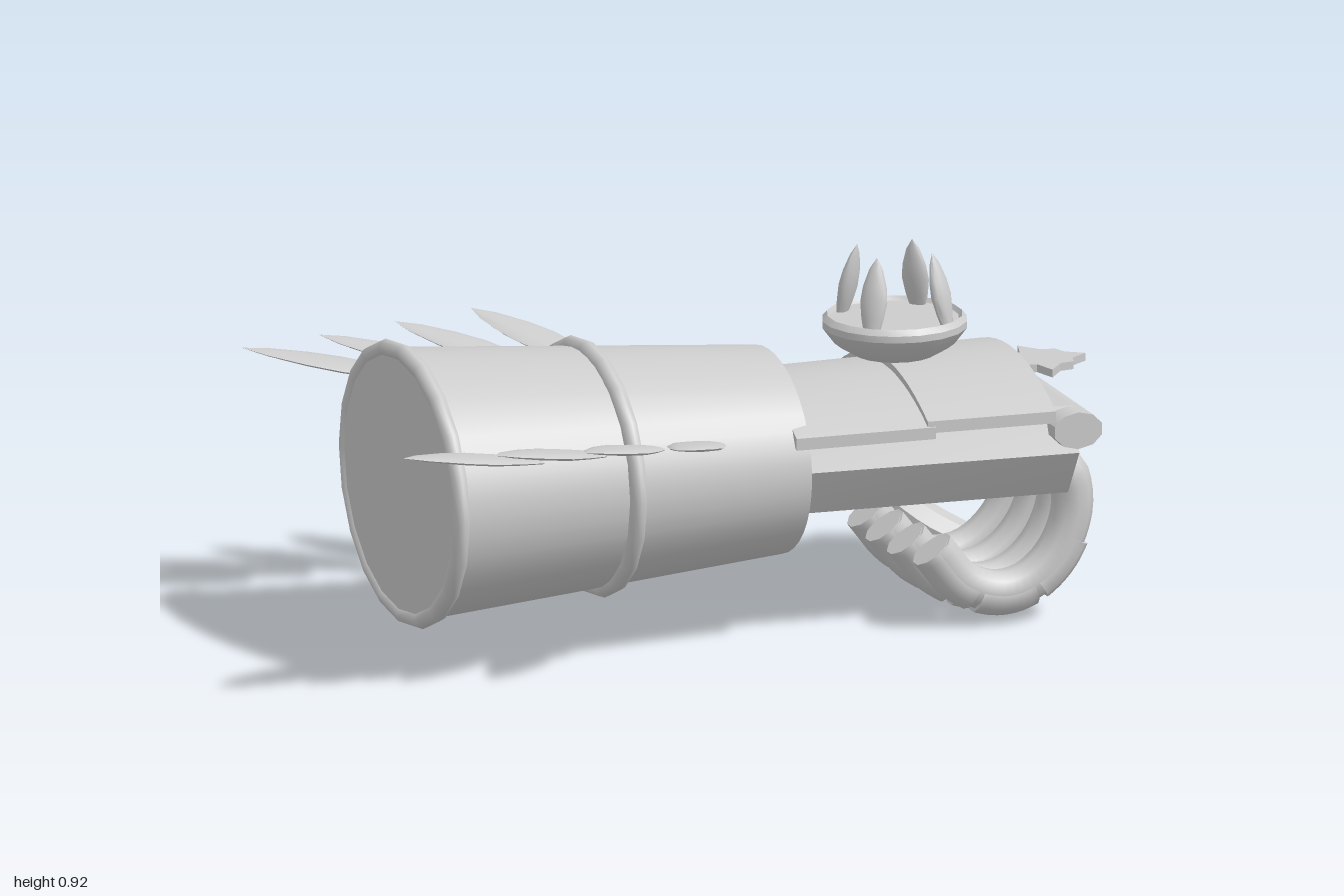
import * as THREE from 'three';
import { toCreasedNormals } from 'three/addons/utils/BufferGeometryUtils.js';

const V = (x, y, z) => new THREE.Vector3(x, y, z);

// Capped tube along a smooth path, with a radius rule along its length
function limb(points, radius, steps = 16, sides = 10) {
  const curve = new THREE.CatmullRomCurve3(points);
  const { normals, binormals } = curve.computeFrenetFrames(steps);
  const pos = [], idx = [];
  for (let i = 0; i <= steps; i++) {
    const c = curve.getPointAt(i / steps), r = radius(i / steps);
    for (let j = 0; j < sides; j++) {
      const a = (j / sides) * Math.PI * 2;
      const p = c.clone().addScaledVector(normals[i], r * Math.cos(a)).addScaledVector(binormals[i], r * Math.sin(a));
      pos.push(p.x, p.y, p.z);
    }
  }
  const start = pos.length / 3;
  for (const t of [0, 1]) pos.push(...curve.getPointAt(t).toArray());
  for (let j = 0; j < sides; j++) {
    const k = (j + 1) % sides;
    for (let i = 0; i < steps; i++) {
      const a = i * sides, b = a + sides;
      idx.push(a + j, a + k, b + j, a + k, b + k, b + j);
    }
    idx.push(start, k, j, start + 1, steps * sides + j, steps * sides + k);
  }
  const g = new THREE.BufferGeometry();
  g.setAttribute('position', new THREE.Float32BufferAttribute(pos, 3));
  g.setIndex(idx);
  return toCreasedNormals(g, 0.75);
}

// Flattened leaf blade from base to tip, its width kept horizontal
function leaf(base, tip, half, thick) {
  const profile = [[0, 0], [0.55, 0], [0.82, 0.2], [1, 0.42], [0.88, 0.62], [0.5, 0.85], [0, 1]];
  const dir = tip.clone().sub(base), len = dir.length();
  dir.normalize();
  const wide = dir.clone().cross(V(0, 1, 0)).normalize();
  const g = new THREE.LatheGeometry(profile.map(([r, y]) => new THREE.Vector2(r * half, y * len)), 12);
  g.scale(1, 1, thick / half);
  g.applyMatrix4(new THREE.Matrix4().makeBasis(wide, dir, wide.clone().cross(dir)).setPosition(base));
  return toCreasedNormals(g, 0.9);
}

// Cross-section in (z, y) pushed along x, widening by a flare factor
function prism(section, x0, x1, flare) {
  const shape = new THREE.Shape(section.map(([z, y]) => new THREE.Vector2(z, y)));
  const g = new THREE.ExtrudeGeometry(shape, { depth: x1 - x0, bevelEnabled: false });
  g.rotateY(Math.PI / 2).translate(x0, 0, 0);
  const p = g.attributes.position;
  for (let i = 0; i < p.count; i++) p.setZ(i, p.getZ(i) * (1 + flare * (p.getX(i) - x0)));
  return toCreasedNormals(g, 0.6);
}

// Thin arched cross-section
function arch(half, edgeY, crestY, thick) {
  const out = [], inn = [];
  for (let i = 0; i <= 14; i++) {
    const u = -1 + i / 7, y = edgeY + (crestY - edgeY) * (1 - u * u);
    out.push([u * half, y]);
    inn.unshift([u * half, y - thick]);
  }
  return [...out, ...inn];
}

export function createModel() {
  const model = new THREE.Group();
  const metal = new THREE.MeshStandardMaterial({ color: 0xcccccc });
  metal.name = 'light grey';
  const add = (name, geometry, parent = model) => {
    const m = new THREE.Mesh(geometry, metal);
    m.name = name;
    parent.add(m);
    return m;
  };
  const group = (name) => {
    const g = new THREE.Group();
    g.name = name;
    model.add(g);
    return g;
  };

  // Tapered oval cuff and its two raised bands
  const cuff = new THREE.CylinderGeometry(0.255, 0.335, 0.97, 40);
  cuff.rotateZ(-Math.PI / 2).scale(1, 1, 1.2).translate(-0.315, 0.44, 0);
  add('cuff', cuff);
  for (const [x, r] of [[-0.785, 0.332], [-0.305, 0.298]]) {
    const band = new THREE.TorusGeometry(r, 0.022, 8, 20);
    band.rotateY(Math.PI / 2).scale(1, 1, 1.21).translate(x, 0.44, 0);
    add('cuffBand', band);
  }

  // Hand block and the overlapping arched plates on its back
  add('palm', prism([[-0.22, 0.33], [0.22, 0.33], [0.29, 0.45], [0.25, 0.56], [-0.25, 0.56], [-0.29, 0.45]], 0.15, 0.86, 0.22));
  add('rearHandPlate', prism(arch(0.305, 0.545, 0.63, 0.03), 0.13, 0.49, 0.12));
  add('frontHandPlate', prism(arch(0.315, 0.56, 0.647, 0.03), 0.47, 0.8, 0.16));

  // Knuckle bar
  const bar = new THREE.CylinderGeometry(0.065, 0.065, 0.71, 10);
  bar.rotateX(Math.PI / 2).scale(1, 0.72, 1).translate(0.85, 0.512, 0);
  add('knuckleBar', toCreasedNormals(bar, 0.75));

  // Flat star ornament above the knuckles
  const tips = [[0, 0.11], [50, 0.085], [100, 0.125], [145, 0.1], [180, 0.09]];
  const rays = [...tips, ...tips.slice(1, -1).reverse().map(([a, r]) => [360 - a, r])];
  const star = new THREE.Shape();
  rays.forEach(([deg, r], i) => {
    const next = i + 1 < rays.length ? rays[i + 1][0] : 360;
    for (const [d, s] of [[deg, r], [(deg + next) / 2, 0.073]]) {
      const a = (d * Math.PI) / 180, x = s * Math.cos(a), y = s * Math.sin(a);
      if (i === 0 && s === r) star.moveTo(x, y);
      else star.lineTo(x, y);
    }
  });
  const starGeo = new THREE.ExtrudeGeometry(star, { depth: 0.02, bevelEnabled: false });
  starGeo.rotateX(-Math.PI / 2).translate(0.89, 0.588, 0);
  add('starOrnament', starGeo);

  // Curled fingers with overlapping plates on the outer side
  const path = [[0.84, 0.43], [0.885, 0.4], [0.908, 0.29], [0.865, 0.165], [0.78, 0.085], [0.69, 0.065], [0.59, 0.1], [0.505, 0.2]];
  for (const [z, s] of [[0.21, 0.9], [0.07, 0.98], [-0.07, 1], [-0.21, 0.98]]) {
    const finger = group('finger');
    const pts = path.map(([x, y]) => V(0.7 + (x - 0.7) * s, 0.27 + (y - 0.27) * s, z));
    add('fingerCore', limb(pts, (t) => 0.052 * Math.min(1, 0.55 + t * 5), 28), finger);
    const curve = new THREE.CatmullRomCurve3(pts);
    for (const [a, b] of [[0.34, 0.54], [0.56, 0.76], [0.78, 1]]) {
      const strip = [0, 1, 2, 3, 4].map((i) => {
        const p = curve.getPointAt(a + ((b - a) * i) / 4);
        return V(0.7 + (p.x - 0.7) * 1.05, 0.27 + (p.y - 0.27) * 1.05, z);
      });
      add('fingerPlate', limb(strip, () => 0.053, 8), finger);
    }
  }

  // Thumb folding down beside the fingers
  add('thumb', limb([V(0.36, 0.4, -0.28), V(0.47, 0.3, -0.35), V(0.6, 0.2, -0.37), V(0.7, 0.12, -0.34), V(0.78, 0.075, -0.31)],
    (t) => 0.068 - 0.016 * t, 14, 8));

  // Shallow dish with four inward-leaning spikes
  const crown = group('crown');
  const dish = new THREE.LatheGeometry([[0, 0.655], [0.1, 0.655], [0.15, 0.685], [0.18, 0.725], [0.18, 0.742], [0.168, 0.756], [0.16, 0.745], [0, 0.745]]
    .map(([r, y]) => new THREE.Vector2(r, y)), 18);
  dish.translate(0.5, 0, 0);
  add('dish', toCreasedNormals(dish, 0.5), crown);
  for (const sx of [-1, 1]) for (const sz of [-1, 1]) {
    add('spike', leaf(V(0.5 + sx * 0.1, 0.735, sz * 0.105), V(0.5 + sx * 0.072, 0.92, sz * 0.07), 0.035, 0.02), crown);
  }

  // Swept feather blades on both sides of the cuff
  const blades = [[-0.6, 0.425, -1, 0.567], [-0.44, 0.42, -0.78, 0.62], [-0.29, 0.415, -0.56, 0.675], [-0.14, 0.425, -0.34, 0.73]];
  for (const side of [-1, 1]) {
    const wing = group(side > 0 ? 'frontFeathers' : 'backFeathers');
    for (const [bx, bz, tx, tz] of blades) {
      add('feather', leaf(V(bx, 0.588, side * bz), V(tx, 0.665, side * tz), 0.068, 0.011), wing);
    }
  }
  return model;
}
